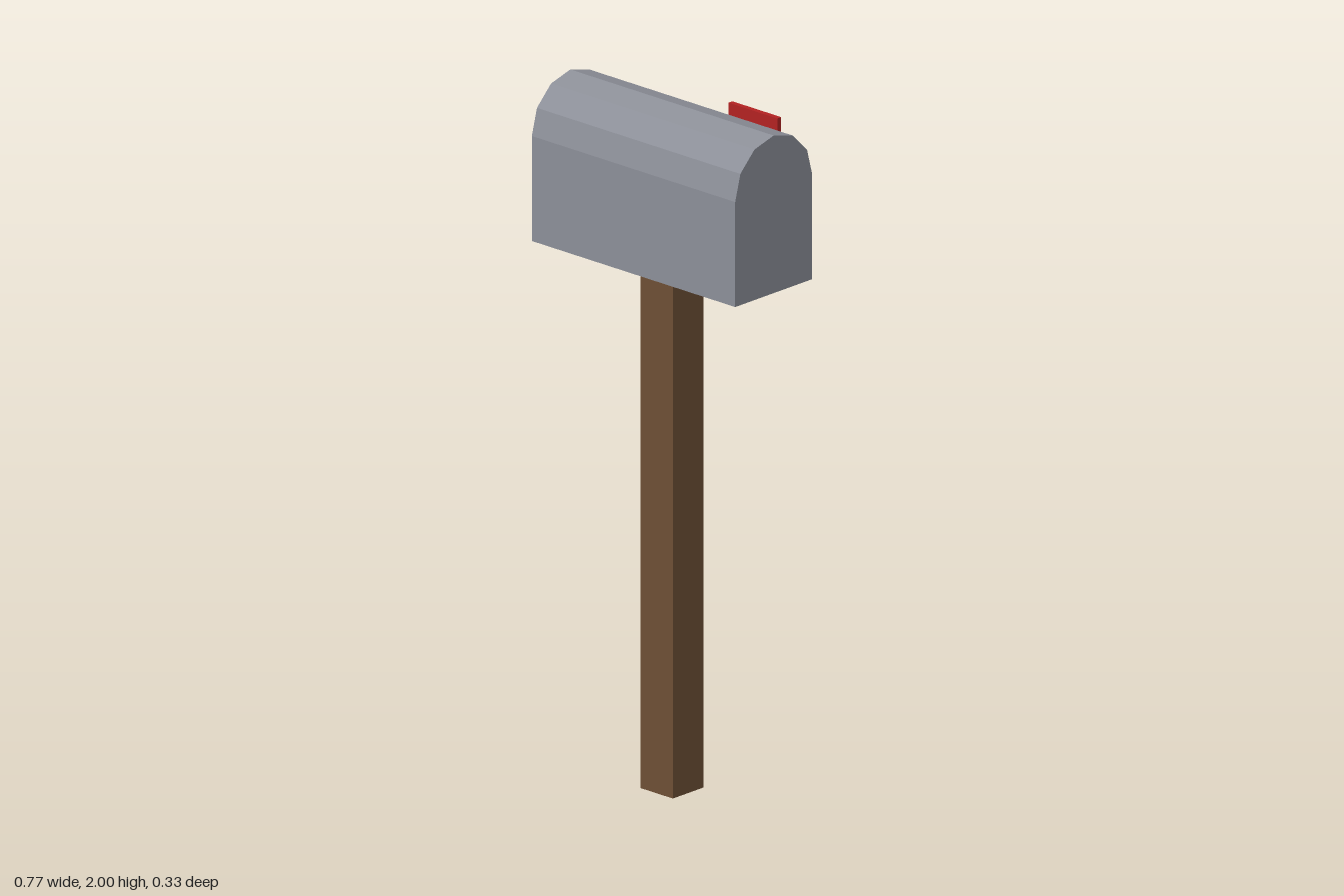
import * as THREE from 'three';

export function createModel() {
  const model = new THREE.Group();
  model.name = 'mailbox';

  const paint = (name, color) => {
    const m = new THREE.MeshStandardMaterial({ color, flatShading: true });
    m.name = name;
    return m;
  };
  const metal = paint('grey metal', 0x8c8f98);
  const wood = paint('brown wood', 0x6d4f35);
  const red = paint('red', 0xb22222);

  const add = (name, geometry, material, x, y, z) => {
    const mesh = new THREE.Mesh(geometry, material);
    mesh.name = name;
    mesh.position.set(x, y, z);
    model.add(mesh);
  };

  const axisZ = 0.0115, baseY = 1.54, radius = 0.1535, length = 0.768;

  // Square post
  add('post', new THREE.BoxGeometry(0.123, baseY, 0.123), wood, 0, baseY / 2, axisZ);

  // Box with a six-sided arched roof, extruded along x
  const profile = new THREE.Shape();
  const wall = 2 - radius - baseY;
  profile.moveTo(-radius, 0);
  profile.lineTo(radius, 0);
  for (let i = 0; i <= 6; i++) {
    const a = (i / 6) * Math.PI;
    profile.lineTo(radius * Math.cos(a), wall + radius * Math.sin(a));
  }
  profile.closePath();
  const body = new THREE.ExtrudeGeometry(profile, { depth: length, bevelEnabled: false });
  body.translate(0, 0, -length / 2).rotateY(Math.PI / 2);
  add('box', body, metal, 0, baseY, axisZ);

  // Signal flag beside the back wall
  add('flag', new THREE.BoxGeometry(0.184, 0.092, 0.0154), red, 0.153, 1.926, -0.1575);

  return model;
}
